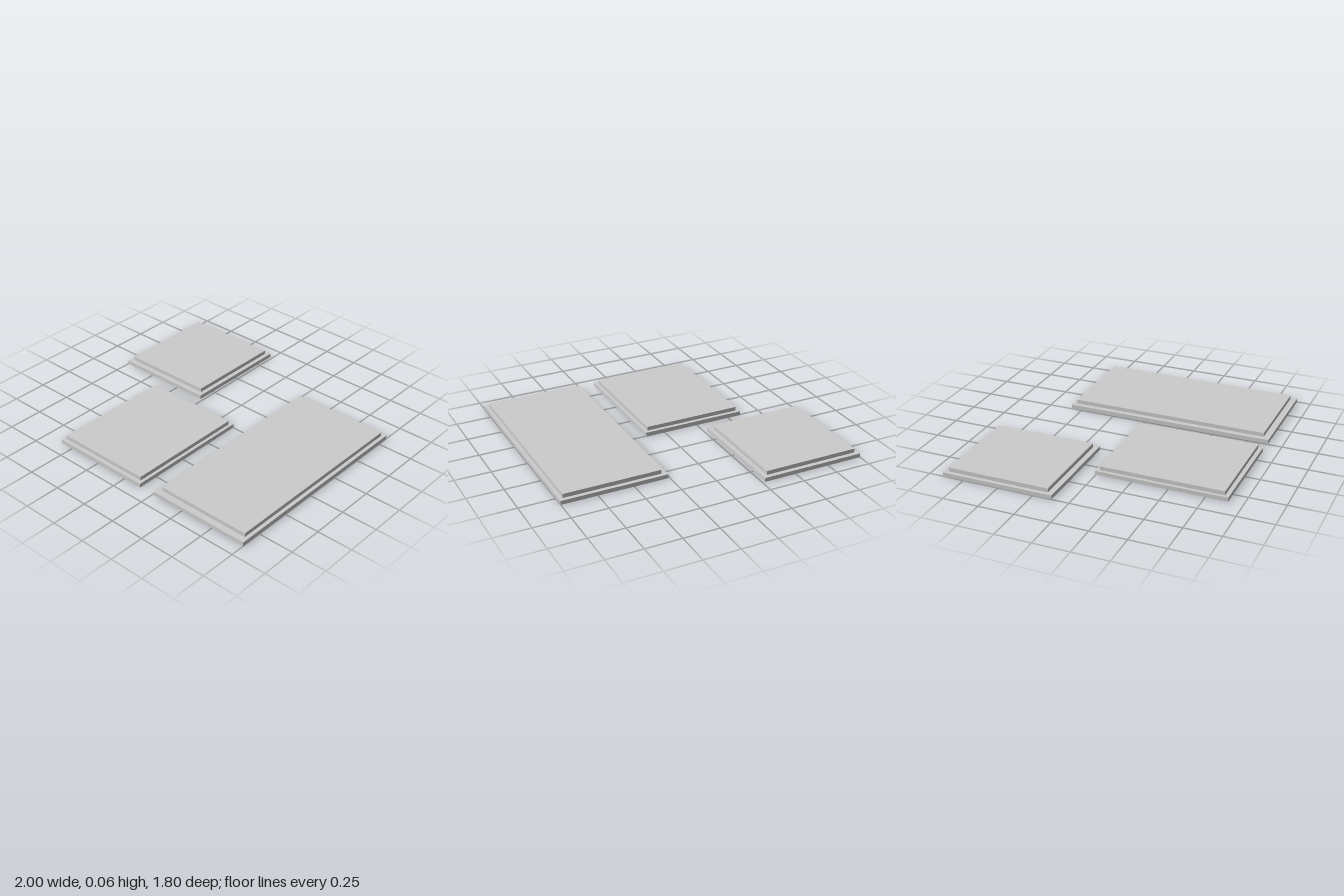
import * as THREE from 'three';

const STEP = 0.028; // height of each tier

// Each platform: lower and upper tier as [xMin, xMax, zMin, zMax]
const PLATFORMS = [
  { name: 'backPlatform', base: [-1, -0.27, -0.9, -0.12], top: [-0.973, -0.3, -0.87, -0.157] },
  { name: 'frontPlatform', base: [-0.6, 0.14, -0.005, 0.9], top: [-0.578, 0.118, 0.021, 0.872] },
  { name: 'longPlatform', base: [0.26, 1, -0.583, 0.9], top: [0.297, 0.975, -0.555, 0.856] },
];

export function createModel() {
  const model = new THREE.Group();
  model.name = 'steppedPlatforms';
  const material = new THREE.MeshStandardMaterial({ color: 0xcccccc });

  // Flat slab filling a floor rectangle, resting at height y
  const slab = (name, [x0, x1, z0, z1], y) => {
    const mesh = new THREE.Mesh(new THREE.BoxGeometry(x1 - x0, STEP, z1 - z0), material);
    mesh.position.set((x0 + x1) / 2, y + STEP / 2, (z0 + z1) / 2);
    mesh.name = name;
    return mesh;
  };

  // Two-tier platforms: wide base with a slightly inset top
  for (const { name, base, top } of PLATFORMS) {
    const platform = new THREE.Group();
    platform.name = name;
    platform.add(slab('baseSlab', base, 0), slab('topSlab', top, STEP));
    model.add(platform);
  }
  return model;
}
